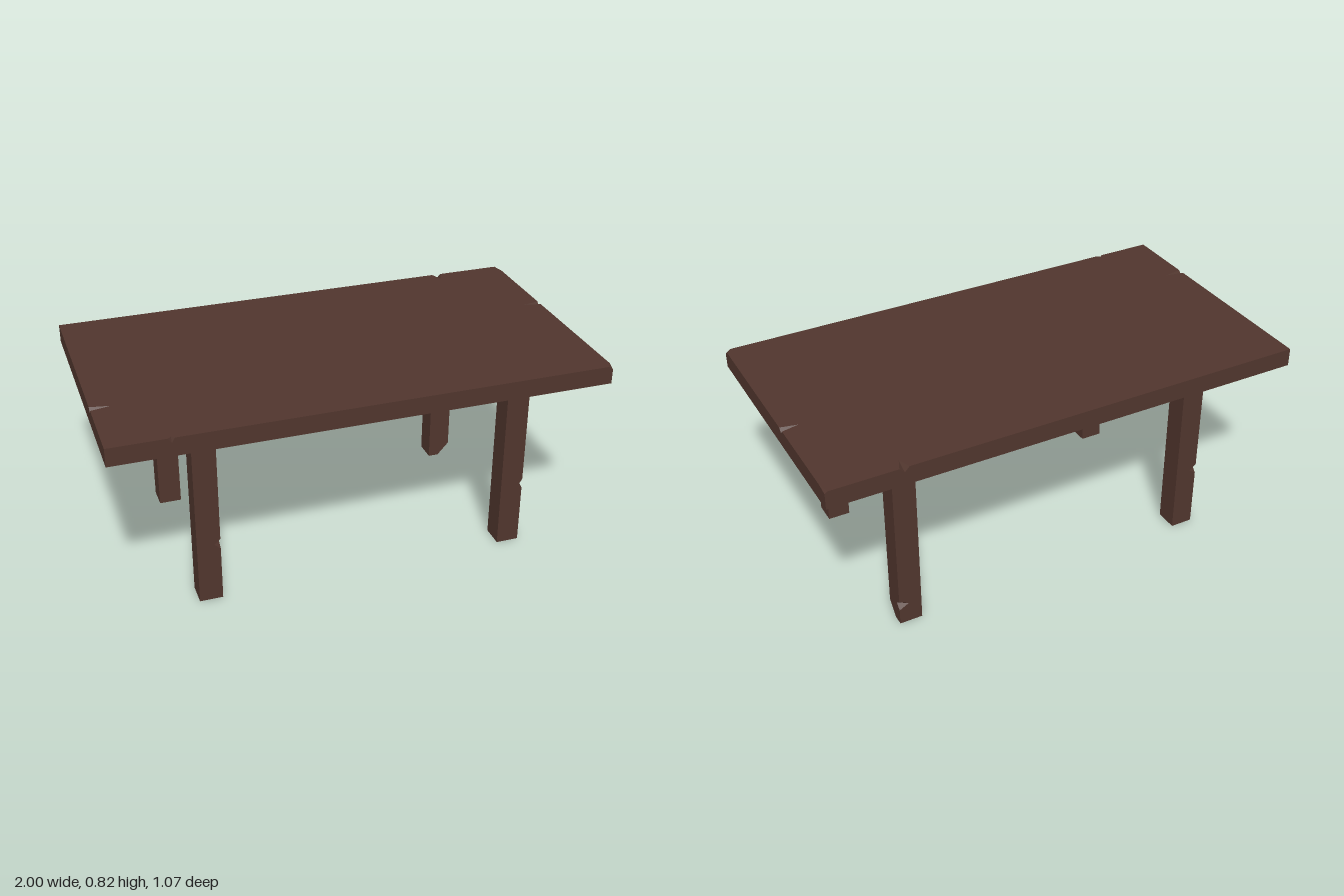
import * as THREE from 'three';

// Box (min..max) with V-shaped nicks on edges and bevelled-off corners.
// nick: axis of the edge, side = signs choosing the edge, at = position along it,
//       w = half width, depth = inward depth per axis. cut: side = corner signs, size per axis.
function chippedBox(min, max, nicks = [], cuts = []) {
  const positions = [];
  const cornerOf = (s) => s.map((v, i) => (v > 0 ? max[i] : min[i]));
  const shift = (p, axis, d) => p.map((v, i) => (i === axis ? v + d : v));

  // add a triangle wound so that it faces the given direction
  const addTriangle = (a, b, c, facing) => {
    const [A, B, C] = [a, b, c].map((p) => new THREE.Vector3(...p));
    const n = B.clone().sub(A).cross(C.clone().sub(A));
    const list = n.dot(new THREE.Vector3(...facing)) < 0 ? [a, c, b] : [a, b, c];
    list.forEach((p) => positions.push(...p));
  };

  // six faces, each outline following its nicks and cuts
  for (let k = 0; k < 3; k++) {
    for (const s of [-1, 1]) {
      const u = (k + 1) % 3, v = (k + 2) % 3;
      const signs = [[-1, -1], [1, -1], [1, 1], [-1, 1]].map(([a, b]) => {
        const g = [0, 0, 0];
        g[k] = s; g[u] = a; g[v] = b;
        return g;
      });
      const outline = [];
      signs.forEach((g, i) => {
        const next = signs[(i + 1) % 4];
        const e = g[u] !== next[u] ? u : v;
        const o = e === u ? v : u;
        const p = cornerOf(g);
        const cut = cuts.find((c) => c.side.every((x, j) => x === g[j]));
        if (cut) {
          outline.push(shift(p, o, -g[o] * cut.size[o]), shift(p, e, -g[e] * cut.size[e]));
        } else outline.push(p);
        const dir = next[e];
        nicks
          .filter((n) => n.axis === e && n.side[k] === s && n.side[o] === g[o])
          .sort((a, b) => (a.at - b.at) * dir)
          .forEach((n) => {
            const m = p.slice();
            m[e] = n.at;
            outline.push(shift(m, e, -dir * n.w), shift(m, o, -g[o] * n.depth[o]), shift(m, e, dir * n.w));
          });
      });
      const facing = [0, 0, 0];
      facing[k] = s;
      const flat = outline.map((p) => new THREE.Vector2(p[u], p[v]));
      for (const [a, b, c] of THREE.ShapeUtils.triangulateShape(flat, [])) {
        addTriangle(outline[a], outline[b], outline[c], facing);
      }
    }
  }

  // inner walls of the nicks
  for (const n of nicks) {
    const [a, b] = [0, 1, 2].filter((i) => i !== n.axis);
    const m = cornerOf(n.side);
    m[n.axis] = n.at;
    const inA = shift(m, a, -n.side[a] * n.depth[a]);
    const inB = shift(m, b, -n.side[b] * n.depth[b]);
    const facing = n.side.map((x, i) => (i === n.axis ? 0 : x));
    addTriangle(shift(m, n.axis, -n.w), inA, inB, facing);
    addTriangle(shift(m, n.axis, n.w), inA, inB, facing);
  }

  // bevel faces of the cut corners
  for (const c of cuts) {
    const p = cornerOf(c.side);
    addTriangle(...[0, 1, 2].map((i) => shift(p, i, -c.side[i] * c.size[i])), c.side);
  }

  const geometry = new THREE.BufferGeometry();
  geometry.setAttribute('position', new THREE.Float32BufferAttribute(positions, 3));
  geometry.computeVertexNormals();
  return geometry;
}

export function createModel() {
  const table = new THREE.Group();
  table.name = 'table';
  const wood = new THREE.MeshStandardMaterial({ color: 0x50352d });
  wood.name = 'darkWood';

  const add = (name, geometry) => {
    const mesh = new THREE.Mesh(geometry, wood);
    mesh.name = name;
    table.add(mesh);
  };

  // worn top with small chips along its upper rim
  add('tableTop', chippedBox([-1, 0.75, -0.535], [1, 0.825, 0.535], [
    { axis: 0, side: [0, 1, -1], at: 0.7, w: 0.02, depth: [0, 0.02, 0.05] },
    { axis: 0, side: [0, 1, 1], at: -0.76, w: 0.012, depth: [0, 0.02, 0.012] },
    { axis: 2, side: [1, 1, 0], at: -0.105, w: 0.015, depth: [0.07, 0.018, 0] },
    { axis: 2, side: [-1, 1, 0], at: 0.23, w: 0.015, depth: [0.08, 0.015, 0] },
  ], [
    { side: [1, 1, 1], size: [0.02, 0.015, 0.03] },
    { side: [1, 1, -1], size: [0.012, 0.008, 0.05] },
  ]));

  // square legs, each with a nick on one upright edge
  const legs = [
    { name: 'frontRightLeg', x: -0.623, z: 0.371, side: [1, 0, 1], at: 0.255, depth: [0.025, 0, 0.03] },
    { name: 'frontLeftLeg', x: 0.661, z: 0.371, side: [1, 0, 1], at: 0.275, depth: [0.012, 0, 0.05] },
    { name: 'backRightLeg', x: -0.623, z: -0.377, side: [-1, 0, -1], at: 0.275, depth: [0.03, 0, 0.02] },
    { name: 'backLeftLeg', x: 0.661, z: -0.377, side: [1, 0, -1], at: 0.09, depth: [0.04, 0, 0.025],
      cuts: [{ side: [1, -1, 1], size: [0.05, 0.055, 0.05] }] },
  ];
  const h = 0.047;
  for (const { name, x, z, side, at, depth, cuts } of legs) {
    const nick = { axis: 1, side, at, w: 0.022, depth };
    add(name, chippedBox([x - h, 0, z - h], [x + h, 0.752, z + h], [nick], cuts));
  }
  return table;
}
